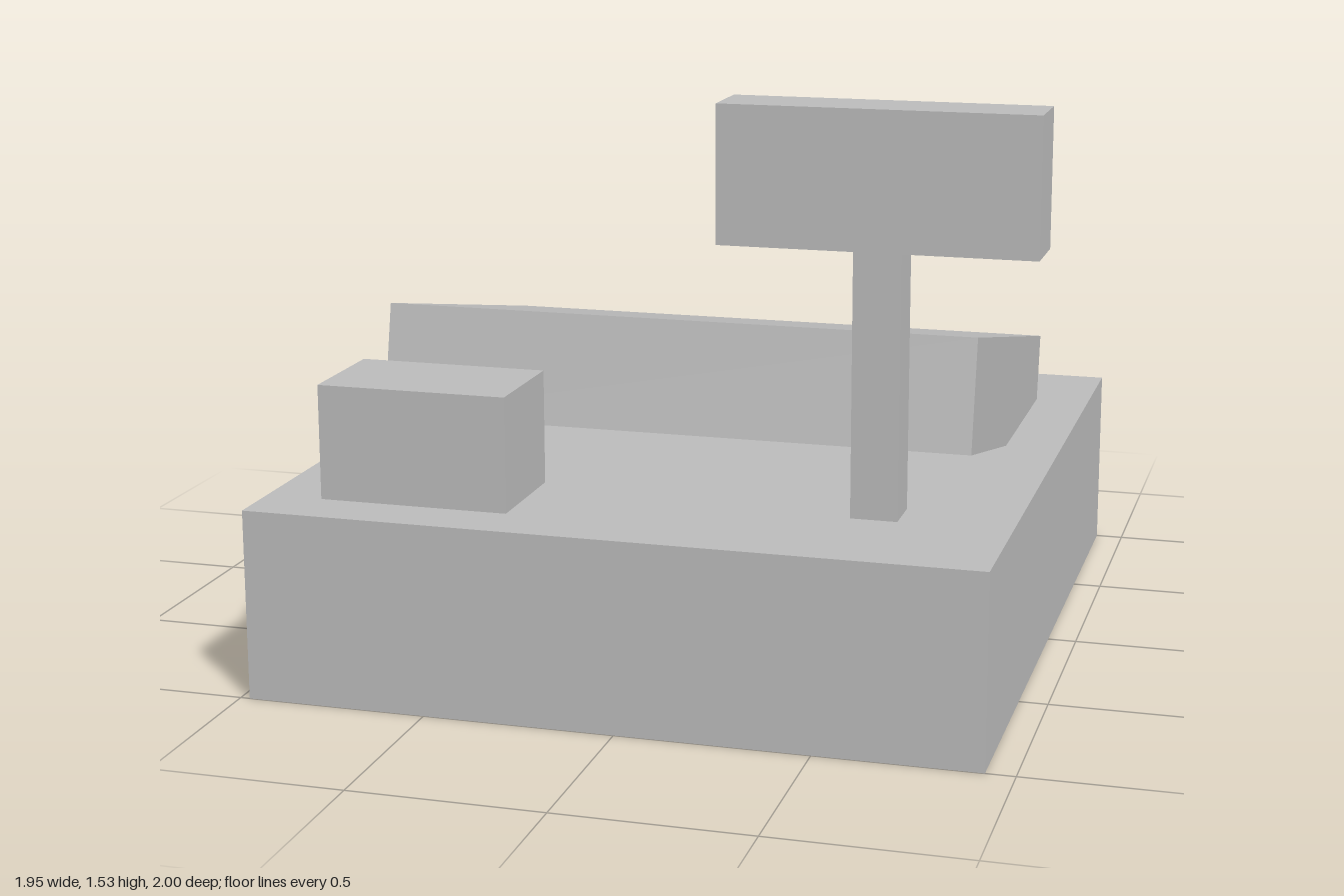
import * as THREE from 'three';

export function createModel() {
  const model = new THREE.Group();
  model.name = 'cashRegister';

  const grey = new THREE.MeshStandardMaterial({ color: 0xbbbbbb });
  grey.name = 'grey';

  // Adds a box by its size and centre
  const addBox = (name, size, centre) => {
    const mesh = new THREE.Mesh(new THREE.BoxGeometry(...size), grey);
    mesh.name = name;
    mesh.position.set(...centre);
    model.add(mesh);
    return mesh;
  };

  // Drawer base
  addBox('base', [1.9, 0.5, 2], [-0.025, 0.25, 0]);

  // Tilted slab, raised towards the front and sunk into the base at the back
  const slab = addBox('tiltedSlab', [1.6, 0.3, 1.1], [-0.025, 0.65, -0.15]);
  slab.rotation.x = -THREE.MathUtils.degToRad(12);

  // Small box on the front corner
  addBox('smallBox', [0.5, 0.3, 0.3], [-0.575, 0.65, 0.7]);

  // Display on its post
  addBox('displayPost', [0.12, 0.68, 0.12], [0.575, 0.84, 0.6]);
  addBox('display', [0.8, 0.35, 0.17], [0.575, 1.355, 0.6]);

  return model;
}
